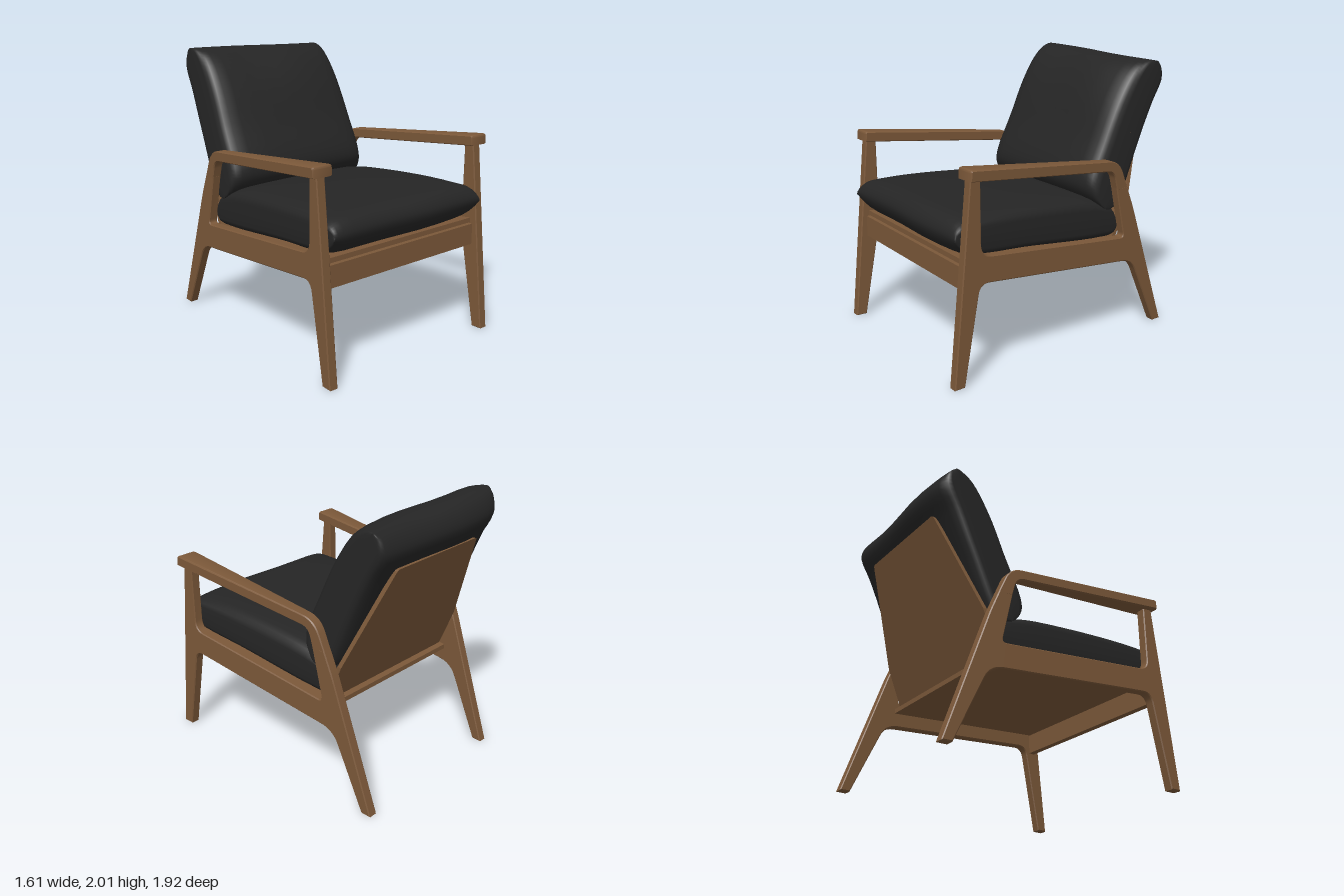
import * as THREE from 'three';
import { toCreasedNormals } from 'three/addons/utils/BufferGeometryUtils.js';

const wood = new THREE.MeshStandardMaterial({ color: 0x7b5839 });
wood.name = 'walnut wood';
const fabric = new THREE.MeshStandardMaterial({ color: 0x252525 });
fabric.name = 'black upholstery';

// The side frames splay outwards towards the front
const frameX = z => 0.682 + 0.0505 * z;

function mesh(name, geometry, material) {
  const m = new THREE.Mesh(geometry, material);
  m.name = name;
  return m;
}

function moveVertices(geometry, rule) {
  const p = geometry.attributes.position;
  const v = new THREE.Vector3();
  for (let i = 0; i < p.count; i++) {
    rule(v.fromBufferAttribute(p, i));
    p.setXYZ(i, v.x, v.y, v.z);
  }
  geometry.computeVertexNormals();
  return geometry;
}

// Closed shape from [x, y, cornerCut] points, with softened corners
function roundedShape(points) {
  const shape = new THREE.Shape();
  const n = points.length;
  points.forEach(([x, y, r = 0], i) => {
    const c = new THREE.Vector2(x, y);
    const towards = q => {
      const d = new THREE.Vector2(q[0] - x, q[1] - y);
      return c.clone().add(d.setLength(Math.min(r, d.length() * 0.48)));
    };
    const a = towards(points[(i + n - 1) % n]);
    const b = towards(points[(i + 1) % n]);
    if (i === 0) shape.moveTo(a.x, a.y);
    else shape.lineTo(a.x, a.y);
    if (r > 0) shape.quadraticCurveTo(x, y, b.x, b.y);
  });
  shape.closePath();
  return shape;
}

// Side profile of [z, y, cornerCut] points, extruded across x and splayed
function sidePart(profile, side, width) {
  const bevel = 0.007;
  const depth = 1 * 0.07 - 2 * bevel;
  const geo = new THREE.ExtrudeGeometry(roundedShape(profile.map(([z, y, r]) => [-z, y, r])), {
    depth, curveSegments: 7, bevelEnabled: true, bevelSegments: 1,
    bevelSize: bevel, bevelThickness: bevel, bevelOffset: -bevel,
  });
  geo.translate(0, 0, -depth / 2).rotateY(Math.PI / 2);
  moveVertices(geo, v => { v.x = side * frameX(v.z) + v.x * width(v.z) / 0.07; });
  return toCreasedNormals(geo, 0.5);
}

const frameProfile = [
  [0.965, 0], [0.825, 1.39], [0.75, 1.39], [0.747, 0.866, 0.08],
  [-0.51, 0.738, 0.04], [-0.425, 1.115], [-0.529, 1.115], [-0.6, 0.945, 0.04],
  [-0.93, 0], [-0.855, 0], [-0.6, 0.547, 0.1], [0.757, 0.685, 0.075], [0.885, 0],
];
const armProfile = [
  [0.85, 1.37], [0.845, 1.445, 0.02], [-0.445, 1.312, 0.1],
  [-0.535, 1.1], [-0.43, 1.1], [-0.392, 1.242, 0.06],
];

// Cushion: a closed z/y section lofted across x, thinning towards its spine at the sides
function cushion(section, spineA, spineB, halfWidth, lump) {
  const curve = new THREE.CatmullRomCurve3(
    section.map(([z, y]) => new THREE.Vector3(0, y, z)), true, 'centripetal');
  const ring = curve.getPoints(64).slice(0, 64);
  const a = new THREE.Vector3(0, spineA[1], spineA[0]);
  const dir = new THREE.Vector3(0, spineB[1], spineB[0]).sub(a).normalize();
  const half = [[1, 0], [1, 0.5], [0.985, 0.68], [0.95, 0.8], [0.88, 0.9], [0.75, 0.96], [0.5, 0.99], [0.25, 1]];
  const stations = [...half.map(([u, s]) => [-u, s]), [0, 1], ...half.slice().reverse()];
  const pos = [], idx = [], n = ring.length;
  for (const [u, s] of stations) {
    for (const p of ring) {
      const foot = a.clone().addScaledVector(dir, p.clone().sub(a).dot(dir));
      const q = foot.clone().lerp(p, s);
      q.x = u * halfWidth(q);
      lump(q, u);
      pos.push(q.x, q.y, q.z);
    }
  }
  for (let j = 0; j < stations.length - 1; j++) {
    for (let i = 0; i < n; i++) {
      const k = (i + 1) % n;
      const p = j * n + i, q = j * n + k;
      idx.push(p, p + n, q, q, p + n, q + n);
    }
  }
  const geo = new THREE.BufferGeometry();
  geo.setAttribute('position', new THREE.Float32BufferAttribute(pos, 3));
  geo.setIndex(idx);
  geo.computeVertexNormals();
  return geo;
}

export function createModel() {
  const chair = new THREE.Group();
  chair.name = 'lounge chair';

  // Side frames with legs and rail, and the widening armrests
  for (const side of [1, -1]) {
    const label = side > 0 ? 'left' : 'right';
    chair.add(mesh(label + 'SideFrame', sidePart(frameProfile, side, () => 0.07), wood));
    chair.add(mesh(label + 'Armrest', sidePart(armProfile, side, z => 0.07 + 0.066 * (z + 0.48)), wood));
  }

  // Front apron
  const apron = new THREE.BoxGeometry(1.41, 0.155, 0.05);
  apron.translate(0, 0.7125, 0.825);
  chair.add(mesh('frontApron', apron, wood));

  // Sloping seat board fitted between the frames
  const board = new THREE.BoxGeometry(2, 0.035, 1.36);
  board.translate(0, 0, 0.15);
  moveVertices(board, v => {
    v.x *= frameX(v.z) - 0.025;
    v.y += 0.814 + 0.102 * (v.z - 0.83);
  });
  chair.add(mesh('seatBoard', board, wood));

  // Leaning back board, tapered above the frames
  const backShape = roundedShape([
    [-0.61, 0.7], [0.61, 0.7], [0.61, 0.99], [0.41, 1.7, 0.02], [-0.41, 1.7, 0.02], [-0.61, 0.99],
  ]);
  const back = new THREE.ExtrudeGeometry(backShape, { depth: 0.033, bevelEnabled: false, curveSegments: 4 });
  moveVertices(back, v => { v.z += -0.595 - 0.41 * (v.y - 0.96); });
  chair.add(mesh('backBoard', back, wood));

  // Seat cushion
  chair.add(mesh('seatCushion', cushion(
    [[0.8, 0.84], [0.88, 0.91], [0.91, 1.0], [0.85, 1.085], [0.68, 1.108], [0.1, 1.09], [-0.3, 1.04],
      [-0.46, 0.97], [-0.495, 0.85], [-0.48, 0.725], [-0.35, 0.715], [0.3, 0.785]],
    [0.9, 0.97], [-0.5, 0.85],
    q => 0.645 + 0.05 * q.z,
    (q, u) => { q.z += 0.008 * Math.sin(u * 5) * Math.max(0, q.z); },
  ), fabric));

  // Back cushion with a gently uneven top
  chair.add(mesh('backCushion', cushion(
    [[-0.45, 0.935], [-0.33, 0.99], [-0.245, 1.1], [-0.245, 1.2], [-0.36, 1.46], [-0.49, 1.74], [-0.61, 1.91],
      [-0.71, 1.98], [-0.83, 1.99], [-0.91, 1.94], [-0.95, 1.83], [-0.86, 1.66], [-0.72, 1.35], [-0.6, 1.06], [-0.55, 0.97]],
    [-0.38, 0.97], [-0.83, 1.97],
    q => 0.63 - 0.03 * Math.max(0, q.y - 1),
    (q, u) => {
      const t = Math.max(0, q.y - 1.5) * 2;
      q.y += t * (0.002 - 0.018 * u);
      q.z += t * 0.015 * Math.sin(u * 4);
    },
  ), fabric));

  return chair;
}
